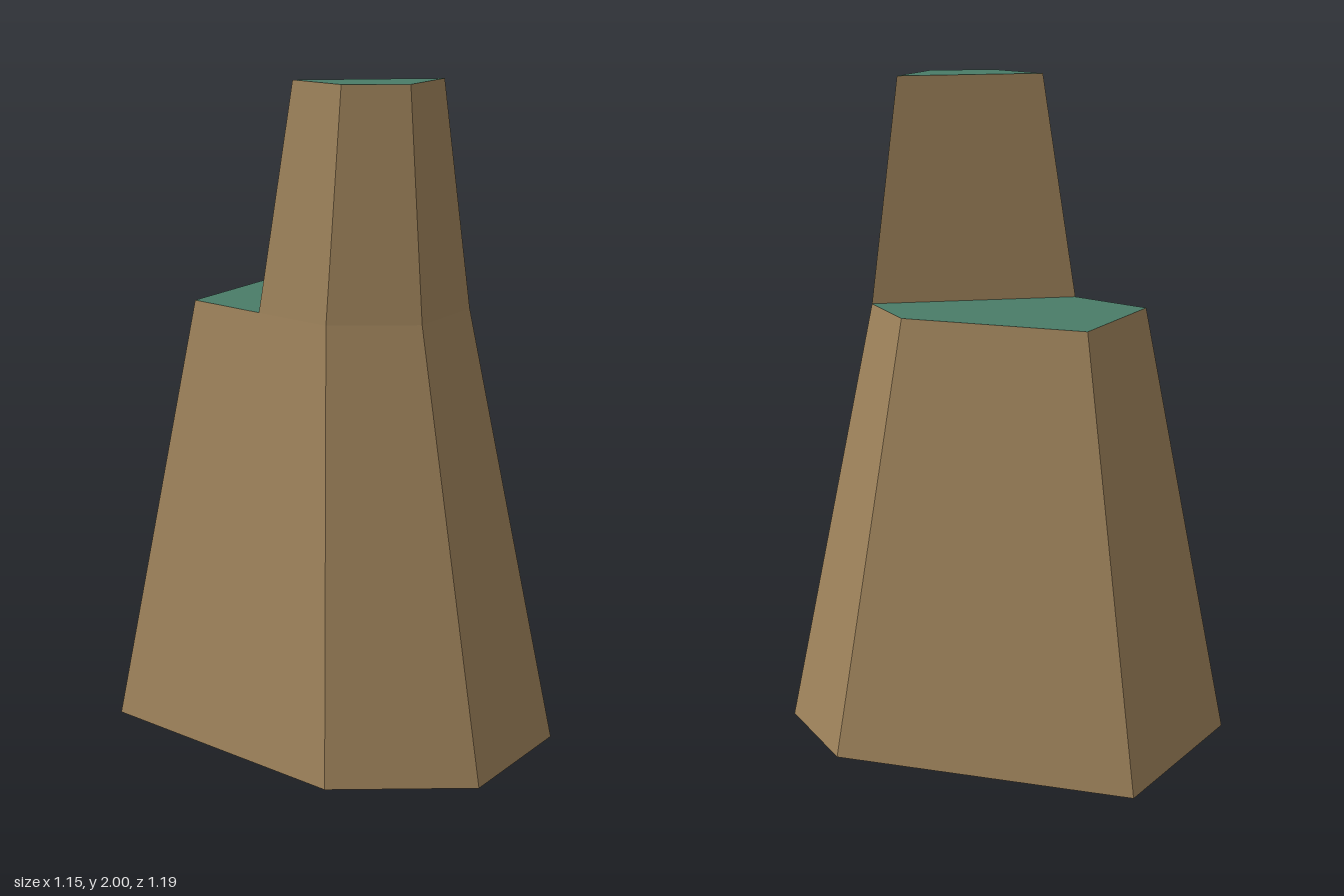
import * as THREE from 'three';

// Horizontal ring of [x, z] corners, counterclockwise seen from above
const ring = (points, y) => points.map(([x, z]) => new THREE.Vector3(x, y, z));

function facesMesh(name, color, faces) {
  const positions = [];
  for (const f of faces) {
    for (let i = 1; i < f.length - 1; i++) {
      for (const p of [f[0], f[i], f[i + 1]]) positions.push(p.x, p.y, p.z);
    }
  }
  const geometry = new THREE.BufferGeometry();
  geometry.setAttribute('position', new THREE.Float32BufferAttribute(positions, 3));
  geometry.computeVertexNormals();
  const mesh = new THREE.Mesh(geometry, new THREE.MeshStandardMaterial({ color, flatShading: true }));
  mesh.name = name;
  return mesh;
}

// Quads joining a lower ring to an upper ring
const walls = (a, b) => a.map((p, i) => {
  const j = (i + 1) % a.length;
  return [p, a[j], b[j], b[i]];
});

export function createModel() {
  const BROWN = 0xa0845c, GREEN = 0x4a7c68;
  const ledgeY = 1.337, topY = 2, taper = 0.6;

  const plan = [[-0.08, -0.597], [-0.573, -0.315], [-0.2, 0.42], [0.212, 0.595], [0.573, 0.39], [0.573, 0.046]];
  const base = ring(plan, 0);
  const shoulder = ring(plan.map(([x, z]) => [x * taper, z * taper]), ledgeY);

  // The setback line starts partway along the left-hand wall
  const split = new THREE.Vector3(-0.232, ledgeY, 0.033);
  const towerFoot = [split, shoulder[2], shoulder[3], shoulder[4]];
  const towerTop = ring([[-0.145, 0.083], [-0.067, 0.235], [0.107, 0.309], [0.256, 0.222]], topY);

  const group = new THREE.Group();
  group.name = 'setbackTower';
  group.add(
    facesMesh('lowerWalls', BROWN, [...walls(base, shoulder), [...base].reverse()]),
    facesMesh('upperWalls', BROWN, walls(towerFoot, towerTop)),
    facesMesh('terrace', GREEN, [[shoulder[0], shoulder[1], split, shoulder[4], shoulder[5]]]),
    facesMesh('roof', GREEN, [towerTop])
  );
  return group;
}
